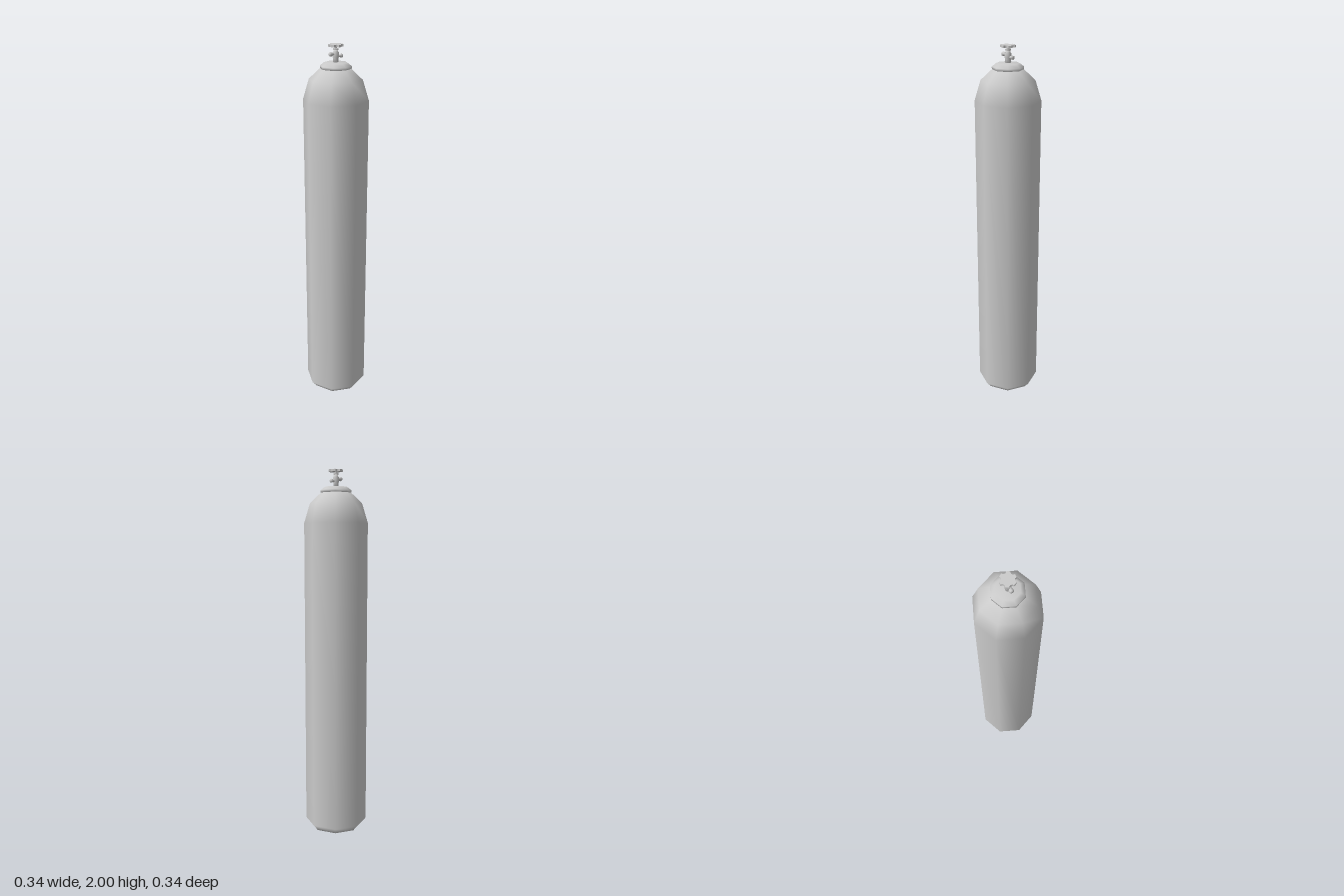
import * as THREE from 'three';

const grey = new THREE.MeshStandardMaterial({ color: 0xcccccc });

export function createModel() {
  const model = new THREE.Group();

  function add(name, geometry, parent = model) {
    const mesh = new THREE.Mesh(geometry, grey);
    mesh.name = name;
    parent.add(mesh);
    return mesh;
  }
  // Profile points are [radius, height], listed from the bottom up
  const lathe = (points, sides) =>
    new THREE.LatheGeometry(points.map(([r, y]) => new THREE.Vector2(r, y)), sides);

  // Eight-sided tank with bevelled foot and domed shoulder
  add('tank', lathe([
    [0, 0.005], [0.142, 0.005], [0.172, 0.04], [0.172, 1.72],
    [0.14, 1.825], [0.075, 1.885], [0, 1.89],
  ], 8));

  // Neck collar
  add('collar', lathe([
    [0.07, 1.875], [0.082, 1.88], [0.082, 1.893], [0.06, 1.91], [0, 1.912],
  ], 8));

  // Valve body, stem and gland nut
  const valve = new THREE.Group();
  valve.name = 'valve';
  model.add(valve);
  add('valveBody', lathe([
    [0, 1.905], [0.014, 1.905], [0.014, 1.93], [0.017, 1.937],
    [0.017, 1.958], [0.012, 1.965], [0.012, 1.972], [0, 1.972],
  ], 8), valve);
  add('valveStem', new THREE.CylinderGeometry(0.007, 0.007, 0.026, 8), valve)
    .position.y = 1.977;
  add('glandNut', new THREE.CylinderGeometry(0.015, 0.015, 0.008, 6), valve)
    .position.y = 1.976;

  // Front outlet with rounded cap
  const outlet = add('frontOutlet', lathe([
    [0, 0], [0.007, 0], [0.007, 0.026], [0.011, 0.027],
    [0.011, 0.037], [0.007, 0.042], [0, 0.042],
  ], 8), valve);
  outlet.rotation.x = Math.PI / 2;
  outlet.position.y = 1.952;

  // Rear safety plug with flat cap
  const plug = add('rearPlug', lathe([
    [0, 0], [0.006, 0], [0.006, 0.029], [0.01, 0.029], [0.01, 0.038], [0, 0.038],
  ], 8), valve);
  plug.rotation.x = -Math.PI / 2;
  plug.position.y = 1.94;

  // Handwheel with six lobes and scooped notches between them
  const wheel = new THREE.Shape();
  const lobes = 6, tip = 0.038, half = 0.008;
  for (let i = 0; i < lobes; i++) {
    const a = (i / lobes) * Math.PI * 2;
    const at = (r, t) => [r * Math.cos(a) - t * Math.sin(a), r * Math.sin(a) + t * Math.cos(a)];
    if (i === 0) wheel.moveTo(...at(tip, -half));
    else wheel.lineTo(...at(tip, -half));
    wheel.lineTo(...at(tip, half));
    // Notch curves in towards the hub and out to the next lobe
    const b = a + Math.PI / lobes;
    const next = a + (2 * Math.PI) / lobes;
    wheel.quadraticCurveTo(0.021 * Math.cos(b), 0.021 * Math.sin(b),
      tip * Math.cos(next) + half * Math.sin(next),
      tip * Math.sin(next) - half * Math.cos(next));
  }
  const wheelGeometry = new THREE.ExtrudeGeometry(wheel, {
    depth: 0.012, bevelEnabled: false, curveSegments: 5,
  });
  wheelGeometry.rotateX(-Math.PI / 2);
  add('handwheel', wheelGeometry, valve).position.y = 1.988;

  return model;
}
